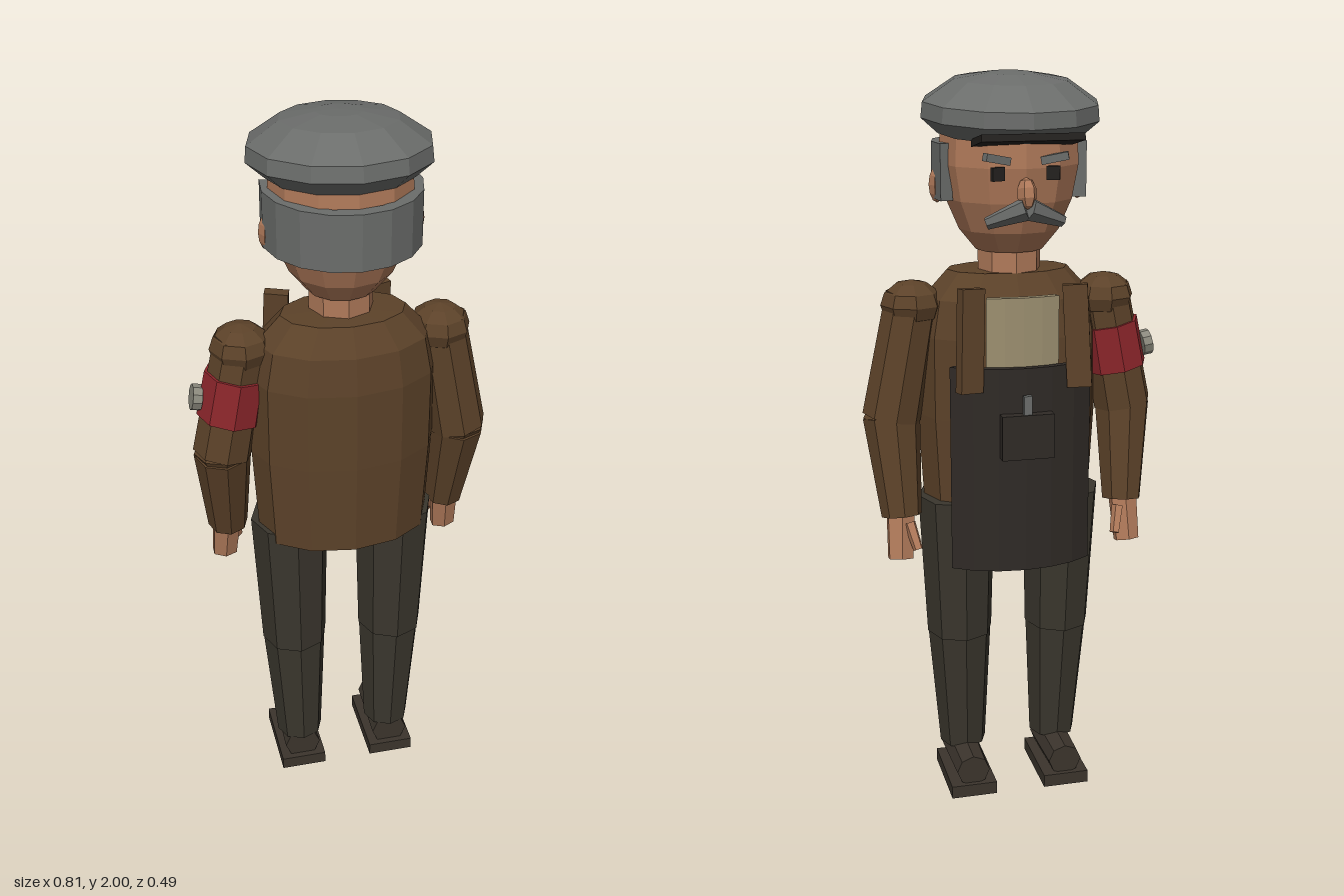
import * as THREE from 'three';

const paint = (name, color) => {
  const m = new THREE.MeshStandardMaterial({ color, flatShading: true });
  m.name = name;
  return m;
};

export function createModel() {
  const jacket = paint('brown jacket', 0x5c4229);
  const trousers = paint('dark trousers', 0x3a362d);
  const apronCloth = paint('apron black', 0x2f2a26);
  const skin = paint('skin', 0xb07a5a);
  const grey = paint('grey wool', 0x6b6d6b);
  const shoe = paint('shoe leather', 0x3b342c);
  const red = paint('armband red', 0x8c262b);
  const cream = paint('shirt cream', 0x9c8f70);
  const dark = paint('near black', 0x24211f);
  const metal = paint('badge metal', 0x8a887c);

  const root = new THREE.Group();
  root.name = 'standingMan';

  const add = (name, geo, mat, x = 0, y = 0, z = 0, parent = root) => {
    const m = new THREE.Mesh(geo, mat);
    m.name = name;
    m.position.set(x, y, z);
    parent.add(m);
    return m;
  };
  const box = (name, mat, size, pos, rot = [0, 0, 0]) => {
    const m = add(name, new THREE.BoxGeometry(...size), mat, ...pos);
    m.rotation.set(...rot);
    return m;
  };
  // Faceted body of revolution with an oval section
  const lathe = (name, mat, profile, sx, sz, z, sides = 12) => {
    const pts = profile.map(([r, y]) => new THREE.Vector2(r, y));
    return add(name, new THREE.LatheGeometry(pts, sides).scale(sx, 1, sz), mat, 0, 0, z);
  };
  // Tapered limb between two points
  const limb = (name, mat, a, b, ra, rb, sides = 8) => {
    const A = new THREE.Vector3(...a), B = new THREE.Vector3(...b);
    const m = add(name, new THREE.CylinderGeometry(ra, rb, A.distanceTo(B), sides), mat);
    m.position.copy(A).add(B).multiplyScalar(0.5);
    m.quaternion.setFromUnitVectors(new THREE.Vector3(0, 1, 0), A.sub(B).normalize());
    return m;
  };
  const ball = (name, mat, pos, scale, ws = 8, hs = 6) => {
    const m = add(name, new THREE.SphereGeometry(1, ws, hs), mat, ...pos);
    m.scale.set(...scale);
    return m;
  };
  // Curved upright plate; angles run from -z, where the face looks
  const arcPlate = (name, mat, rx, rz, cz, t, a0, a1, y0, y1, n) => {
    const pts = [];
    for (let i = 0; i <= n; i++) {
      const a = a0 + (a1 - a0) * i / n;
      pts.push(new THREE.Vector2(Math.sin(a) * rx, Math.cos(a) * rz - cz));
    }
    for (let i = n; i >= 0; i--) {
      const a = a0 + (a1 - a0) * i / n;
      pts.push(new THREE.Vector2(Math.sin(a) * (rx - t), Math.cos(a) * (rz - t) - cz));
    }
    const geo = new THREE.ExtrudeGeometry(new THREE.Shape(pts), { depth: y1 - y0, bevelEnabled: false });
    return add(name, geo.rotateX(-Math.PI / 2), mat, 0, y0, 0);
  };

  // Torso, hips and neck
  lathe('jacketBody', jacket, [[0, 0.84], [0.235, 0.84], [0.25, 1.1], [0.25, 1.32],
    [0.23, 1.42], [0.165, 1.49], [0, 1.495]], 1, 0.645, 0.037);
  add('hips', new THREE.CylinderGeometry(0.2, 0.18, 0.12, 8).scale(1, 1, 0.55), trousers, 0, 0.86, 0.02);
  add('neck', new THREE.CylinderGeometry(0.085, 0.085, 0.12, 8), skin, 0, 1.52, 0.015);

  // Shirt front and apron
  arcPlate('shirtFront', cream, 0.24, 0.16, 0.01, 0.02, -0.42, 0.42, 1.24, 1.44, 4);
  arcPlate('apron', apronCloth, 0.25, 0.172, -0.006, 0.02, -0.87, 0.87, 0.7, 1.26, 6);
  box('apronPocket', apronCloth, [0.14, 0.12, 0.03], [0, 1.08, -0.187]);
  box('pocketTool', grey, [0.022, 0.12, 0.015], [0, 1.13, -0.19]);

  // Head
  lathe('head', skin, [[0, 1.54], [0.09, 1.545], [0.135, 1.6], [0.17, 1.68],
    [0.187, 1.77], [0.183, 1.86], [0.12, 1.92], [0, 1.94]], 1, 1, 0.015);
  arcPlate('hairBand', grey, 0.203, 0.215, 0.02, 0.035, 1.27, 2 * Math.PI - 1.27, 1.68, 1.825, 10);
  const nose = ball('nose', skin, [0, 1.71, -0.175], [0.026, 0.04, 0.03], 6, 5);
  nose.rotation.x = 0.2;

  // Flat cap and peak
  const cap = lathe('cap', grey, [[0, -0.055], [0.19, -0.055], [0.235, -0.015], [0.231, 0.025],
    [0.15, 0.08], [0.06, 0.095], [0, 0.097]], 1, 1.03, 0);
  cap.position.y = 1.902;
  cap.rotation.x = -0.07;
  box('capPeak', dark, [0.262, 0.018, 0.12], [0, 1.843, -0.183], [0.18, 0, 0]);

  for (const s of [-1, 1]) {
    const side = s > 0 ? 'left' : 'right';

    // Face details
    ball(side + 'Ear', skin, [s * 0.19, 1.715, 0.026], [0.022, 0.047, 0.03], 6, 6);
    box(side + 'Eye', dark, [0.034, 0.034, 0.012], [s * 0.072, 1.758, -0.162], [0, s * 0.3, 0]);
    box(side + 'Eyebrow', grey, [0.07, 0.02, 0.022], [s * 0.075, 1.795, -0.165], [0, s * 0.3, s * 0.2]);
    const tache = limb(side + 'Moustache', grey, [s * 0.005, 1.672, -0.183], [s * 0.1, 1.635, -0.155], 0.031, 0.016, 6);
    tache.scale.z = 0.8;

    // Lapels
    box(side + 'Lapel', jacket, [0.065, 0.27, 0.032], [s * 0.143, 1.335, -0.153], [0.06, s * 0.3, s * 0.04]);

    // Arms
    const shoulder = [s * 0.262, 1.43, 0.018], elbow = [s * 0.325, 1.1, 0.018], wrist = [s * 0.312, 0.835, -0.035];
    ball(side + 'Shoulder', jacket, [s * 0.265, 1.405, 0.018], [0.083, 0.065, 0.083]);
    limb(side + 'UpperArm', jacket, shoulder, elbow, 0.072, 0.08);
    ball(side + 'Elbow', jacket, elbow, [0.077, 0.04, 0.077]);
    limb(side + 'Forearm', jacket, elbow, wrist, 0.078, 0.055);

    // Hands
    const palm = limb(side + 'Hand', skin, [s * 0.315, 0.85, -0.035], [s * 0.322, 0.72, -0.06], 0.042, 0.037, 6);
    palm.scale.z = 0.75;
    limb(side + 'Thumb', skin, [s * 0.295, 0.82, -0.06], [s * 0.278, 0.752, -0.09], 0.017, 0.014, 5);

    // Legs
    const hip = [s * 0.148, 0.87, 0.02], knee = [s * 0.142, 0.46, 0.028], ankle = [s * 0.134, 0.105, 0.038];
    limb(side + 'Thigh', trousers, hip, knee, 0.108, 0.092).scale.z = 1.08;
    limb(side + 'Shin', trousers, knee, ankle, 0.09, 0.066);

    // Shoes
    box(side + 'Sole', shoe, [0.13, 0.036, 0.232], [s * 0.135, 0.018, -0.01]);
    const upper = add(side + 'ShoeUpper', new THREE.CylinderGeometry(0.047, 0.052, 0.2, 8).rotateX(-Math.PI / 2),
      shoe, s * 0.135, 0.072, -0.012);
    upper.scale.y = 0.95;
  }

  // Armband and plain round badge on the right arm
  limb('armband', red, [-0.281, 1.33, 0.018], [-0.3045, 1.205, 0.018], 0.083, 0.086);
  const badge = add('armbandBadge', new THREE.CylinderGeometry(0.035, 0.035, 0.025, 10), metal, -0.387, 1.268, 0.012);
  badge.rotation.z = Math.PI / 2 - 0.18;

  return root;
}
